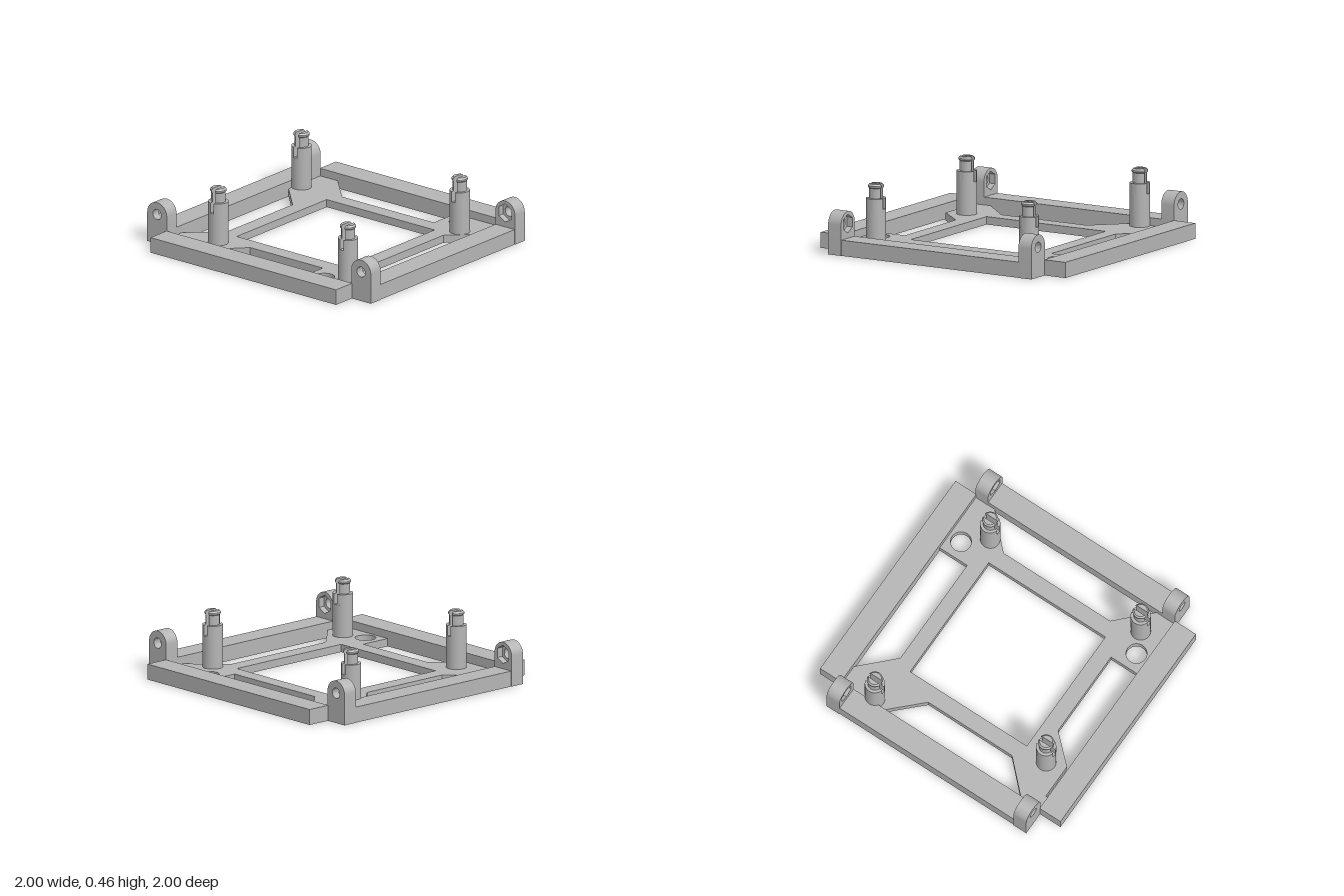
import * as THREE from 'three';
import { toCreasedNormals } from 'three/addons/utils/BufferGeometryUtils.js';

const grey = new THREE.MeshStandardMaterial({ color: 0xb4b4b4 });
grey.name = 'plain grey';

const PLATE = 0.055, RAIL = 0.11;

function part(name, geometry, parent) {
  const mesh = new THREE.Mesh(geometry, grey);
  mesh.name = name;
  parent.add(mesh);
  return mesh;
}

const smooth = (g) => toCreasedNormals(g, 0.6);
const polygon = (pts) => new THREE.Path(pts.map(([x, z]) => new THREE.Vector2(x, z)));
const circle = (x, y, r) => new THREE.Path().absarc(x, y, r, 0, Math.PI * 2, true);

// Half of a slotted pin: rings of [radius, height] cut by a flat at z = s
function halfPin(rings, s, n = 20) {
  const loops = rings.map(([r, y]) => {
    const a0 = Math.asin(s / r);
    return Array.from({ length: n + 1 }, (_, k) => {
      const a = a0 + (Math.PI - 2 * a0) * k / n;
      return [r * Math.cos(a), y, r * Math.sin(a)];
    });
  });
  const pos = [];
  const tri = (a, b, c) => pos.push(...a, ...b, ...c);
  for (let i = 0; i < loops.length - 1; i++) {
    for (let k = 0; k <= n; k++) {
      const m = (k + 1) % (n + 1);
      tri(loops[i][k], loops[i + 1][k], loops[i][m]);
      tri(loops[i][m], loops[i + 1][k], loops[i + 1][m]);
    }
  }
  const top = loops[loops.length - 1];
  for (let k = 1; k < n; k++) tri(top[0], top[k + 1], top[k]);
  const g = new THREE.BufferGeometry();
  g.setAttribute('position', new THREE.Float32BufferAttribute(pos, 3));
  return smooth(g);
}

// Upright hinge ear outline with a hole, extruded along x
function earLayer(hole, width, x) {
  const r = 0.0875, cy = 0.2125;
  const shape = new THREE.Shape();
  shape.moveTo(-r, 0);
  shape.lineTo(r, 0);
  shape.lineTo(r, cy);
  shape.absarc(0, cy, r, 0, Math.PI, false);
  shape.closePath();
  shape.holes.push(hole);
  const g = new THREE.ExtrudeGeometry(shape, { depth: width, bevelEnabled: false, curveSegments: 24 });
  g.rotateY(Math.PI / 2).translate(x, 0, 0);
  return smooth(g);
}

export function createModel() {
  const model = new THREE.Group();
  model.name = 'mountingFrame';
  const posts = [[0.575, -0.785], [-0.66, -0.505], [-0.66, 0.655], [0.575, 0.63]];

  // Thin inner plate with all its openings
  const e = 0.83, h = 0.826;
  const plate = new THREE.Shape([[-e, -e], [e, -e], [e, e], [-e, e]].map(([x, z]) => new THREE.Vector2(x, z)));
  plate.holes.push(
    polygon([[-0.485, -0.485], [0.485, -0.485], [0.485, 0.48], [-0.485, 0.48]]),
    polygon([[-0.445, 0.595], [0.44, 0.595], [0.67, h], [-0.675, h]]),
    polygon([[-0.44, -0.6], [0.255, -0.6], [0.485, -h], [-0.67, -h]]),
    polygon([[0.597, -0.44], [h, -0.67], [h, 0.38], [0.597, 0.38]]),
    polygon([[-0.6, 0.38], [-0.6, -0.27], [-0.8, -0.455], [-0.8, -0.715], [-h, -0.715], [-h, 0.38]]),
    circle(0.73, 0.5, 0.072),
    circle(-0.73, 0.5, 0.072),
    ...posts.map(([x, z]) => circle(x, z, 0.025)),
  );
  const plateGeo = new THREE.ExtrudeGeometry(plate, { depth: PLATE, bevelEnabled: false, curveSegments: 24 });
  plateGeo.rotateX(Math.PI / 2).translate(0, PLATE, 0);
  part('innerPlate', smooth(plateGeo), model);

  // Four outer rails
  for (const s of [-1, 1]) {
    part('sideRail', new THREE.BoxGeometry(0.174, RAIL, 1.66), model).position.set(s * 0.913, RAIL / 2, 0);
    part('endRail', new THREE.BoxGeometry(1.66, RAIL, 0.17), model).position.set(0, RAIL / 2, s * 0.911);
  }

  // Hinge ears with a hexagonal nut pocket on the inner face
  const hexagon = polygon(Array.from({ length: 6 }, (_, k) => {
    const a = Math.PI / 6 - k * Math.PI / 3;
    return [0.066 * Math.cos(a), 0.2125 + 0.066 * Math.sin(a)];
  }));
  const outerLayer = earLayer(circle(0, 0.2125, 0.037), 0.06, 0.77);
  const innerLayer = earLayer(hexagon, 0.045, 0.725);
  for (const sx of [-1, 1]) {
    for (const sz of [-1, 1]) {
      const ear = new THREE.Group();
      ear.name = 'hingeEar';
      part('earOuter', outerLayer, ear);
      part('earPocket', innerLayer, ear);
      ear.rotation.y = sx < 0 ? Math.PI : 0;
      ear.position.z = sz * 0.9125;
      model.add(ear);
    }
  }

  // Snap-in standoff posts with a slot running along x
  const slotFloor = 0.285;
  const shaft = new THREE.CylinderGeometry(0.07, 0.07, slotFloor - PLATE, 40);
  const prong = halfPin([
    [0.07, slotFloor], [0.07, 0.36], [0.049, 0.36], [0.049, 0.43],
    [0.056, 0.437], [0.056, 0.448], [0.045, 0.46],
  ], 0.015);
  for (const [x, z] of posts) {
    const post = new THREE.Group();
    post.name = 'standoffPost';
    part('postShaft', shaft, post).position.y = (slotFloor + PLATE) / 2;
    part('postProng', prong, post);
    part('postProng', prong, post).rotation.y = Math.PI;
    post.position.set(x, 0, z);
    model.add(post);
  }
  return model;
}
